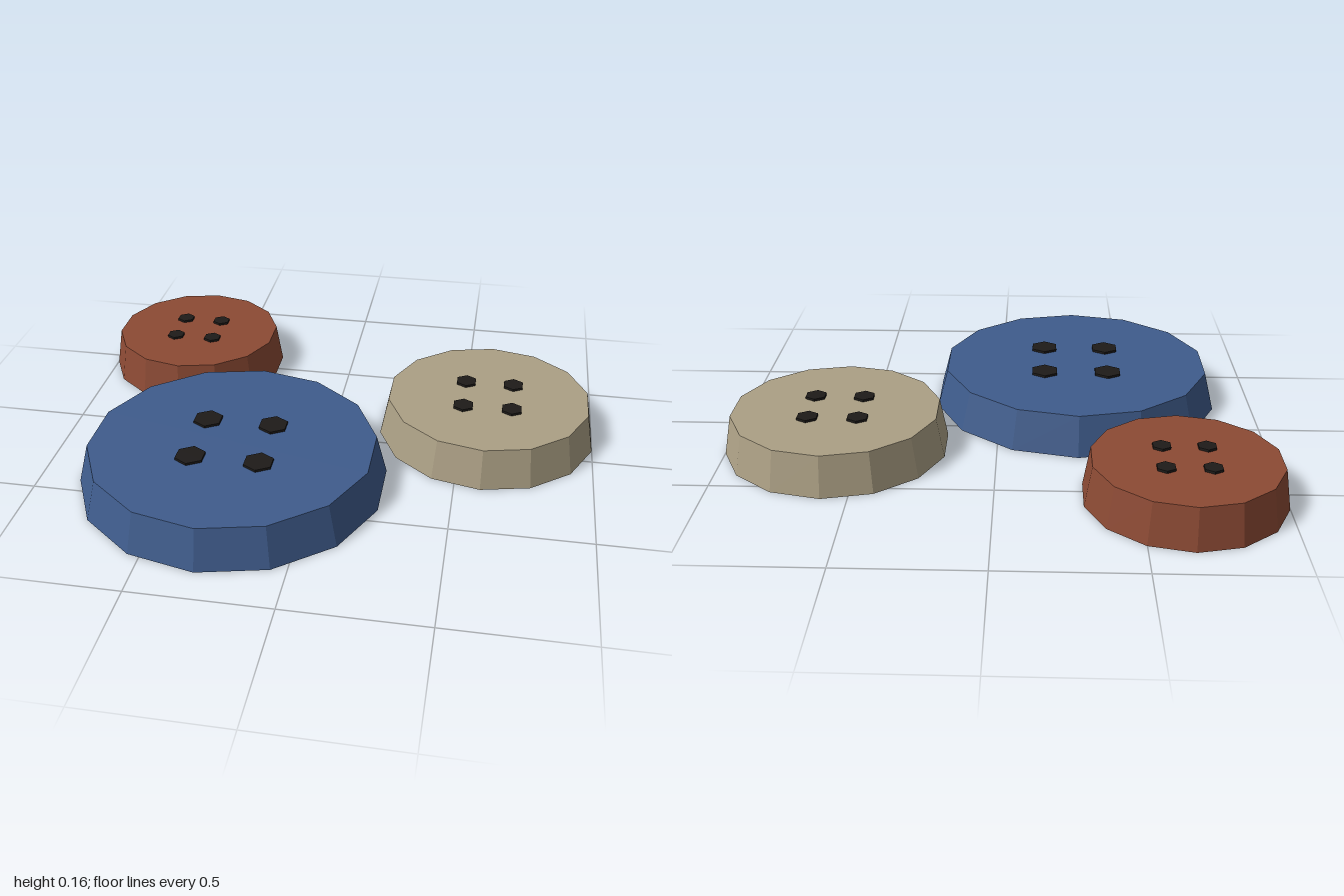
import * as THREE from 'three';

const HEIGHT = 0.15;
const SIDES = 14;

const material = (color) => new THREE.MeshStandardMaterial({ color, flatShading: true });

// One tapered button with four dark hexagonal thread holes
function createButton(name, color, radius, x, z, holeMaterial) {
  const button = new THREE.Group();
  button.name = name;
  button.position.set(x, 0, z);

  const body = new THREE.Mesh(
    new THREE.CylinderGeometry(radius * 0.93, radius, HEIGHT, SIDES),
    material(color)
  );
  body.name = 'buttonBody';
  body.position.y = HEIGHT / 2;
  button.add(body);

  // Thread holes: thin discs standing just proud of the top face
  const holeGeometry = new THREE.CylinderGeometry(radius * 0.1, radius * 0.1, 0.018, 6);
  for (const sx of [-1, 1]) {
    for (const sz of [-1, 1]) {
      const hole = new THREE.Mesh(holeGeometry, holeMaterial);
      hole.name = 'threadHole';
      hole.position.set(sx * radius * 0.22, HEIGHT, sz * radius * 0.22);
      button.add(hole);
    }
  }
  return button;
}

export function createModel() {
  const model = new THREE.Group();
  model.name = 'buttons';
  const holeMaterial = material(0x1e1b19);
  model.add(
    createButton('largeBlueButton', 0x3f5c8c, 0.562, -0.3, 0.31, holeMaterial),
    createButton('mediumBeigeButton', 0xaca085, 0.415, 0.595, -0.165, holeMaterial),
    createButton('smallRedButton', 0x8c4a34, 0.355, -0.653, -0.523, holeMaterial)
  );
  return model;
}
